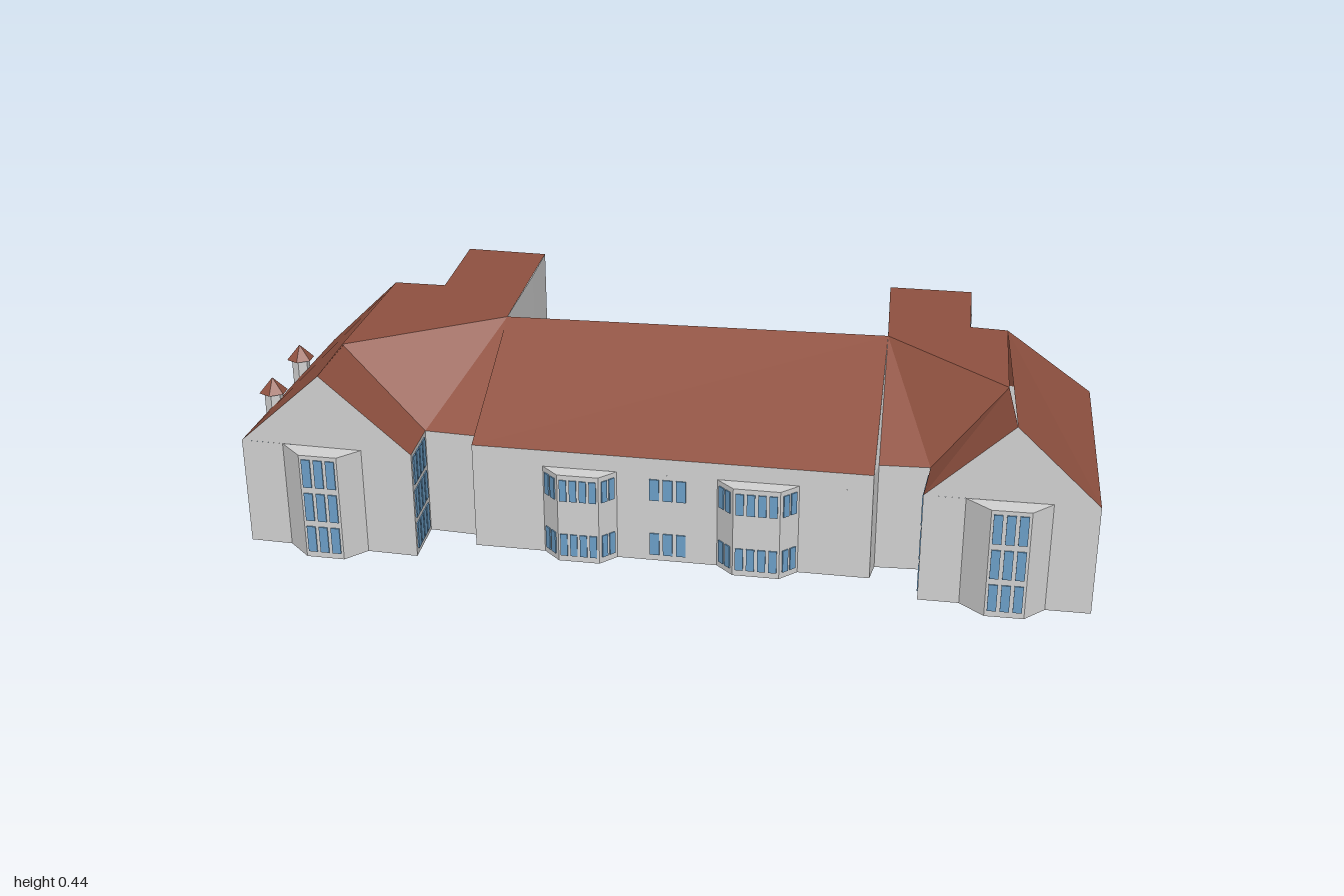
import * as THREE from 'three';

const EAVE = 0.26, RIDGE = 0.437;

const mat = (name, color) => {
  const m = new THREE.MeshStandardMaterial({ color, side: THREE.DoubleSide });
  m.name = name;
  return m;
};

export function createModel() {
  const group = new THREE.Group();
  group.name = 'longHouse';
  const wallMat = mat('render grey', 0xd2d2d2);
  const roofMat = mat('roof tile brown', 0x8f5140);
  const glassMat = mat('window blue', 0x6c9fc8);

  const add = (name, geometry, material, parent = group) => {
    const mesh = new THREE.Mesh(geometry, material);
    mesh.name = name;
    parent.add(mesh);
    return mesh;
  };

  // One mesh from flat polygons, each a fan around its first [x, y, z] corner
  const faces = (name, material, polygons) => {
    const pos = [];
    for (const p of polygons)
      for (let i = 1; i < p.length - 1; i++) pos.push(...p[0], ...p[i], ...p[i + 1]);
    const g = new THREE.BufferGeometry();
    g.setAttribute('position', new THREE.Float32BufferAttribute(pos, 3));
    g.computeVertexNormals();
    return add(name, g, material);
  };

  const at = ([x, z], y) => [x, y, z];
  const level = (plan, y) => plan.map(p => at(p, y));

  // Upright walls along a plan line of [x, z] points
  const walls = (name, plan, y0, y1) => faces(name, wallMat,
    plan.slice(1).map((b, i) => [at(plan[i], y0), at(b, y0), at(b, y1), at(plan[i], y1)]));

  // Grid of thin panes on the wall a-b, between the fractions t0 and t1
  const panes = (name, a, b, t0, t1, cols, rows, fill = 0.72) => {
    const set = new THREE.Group();
    set.name = name;
    group.add(set);
    const dx = b[0] - a[0], dz = b[1] - a[1];
    const step = (t1 - t0) / cols;
    for (let c = 0; c < cols; c++) {
      const t = t0 + step * (c + 0.5);
      for (const [y0, y1] of rows) {
        const pane = add('pane',
          new THREE.BoxGeometry(Math.hypot(dx, dz) * step * fill, y1 - y0, 0.006), glassMat, set);
        pane.position.set(a[0] + dx * t, (y0 + y1) / 2, a[1] + dz * t);
        pane.rotation.y = Math.atan2(-dz, dx);
      }
    }
  };

  const tallRows = [[0.015, 0.08], [0.095, 0.165], [0.18, 0.25]];
  const twoFloors = [[0.015, 0.07], [0.155, 0.208]];

  // Three-sided bay with a flat lid
  const bay = (name, plan, top) => {
    walls(name + 'Walls', plan, 0, top);
    faces(name + 'Lid', wallMat, [level(plan, top)]);
  };

  // ---- Wings, each listed in its own plan points ----
  const wings = [
    {
      name: 'rightWing',
      innerBack: [-0.635, -0.25], outerBack: [-0.95, -0.275], outerFront: [-0.98, 0.364],
      innerFront: [-0.57, 0.4], valley: [-0.57, 0.265], linkEnd: [-0.445, 0.28],
      mainCorner: [-0.445, 0.33], mainBack: [-0.425, -0.34], mainRidge: [-0.43, -0.04],
      ridgeFront: [-0.78, 0.382], ridgeMid: [-0.78, 0.185], ridgeBack: [-0.765, -0.25],
      hipInner: [-0.635, -0.243], extOuter: [-0.635, -0.535], extInner: [-0.425, -0.515],
      bay: [[-0.88, 0.373], [-0.825, 0.43], [-0.735, 0.436], [-0.69, 0.389]],
    },
    {
      name: 'leftWing',
      innerBack: [0.7, -0.172], outerBack: [0.998, -0.152], outerFront: [0.968, 0.489],
      innerFront: [0.588, 0.47], valley: [0.605, 0.33], linkEnd: [0.49, 0.33],
      mainCorner: [0.48, 0.385], mainBack: [0.5, -0.29], mainRidge: [0.498, -0.018],
      ridgeFront: [0.778, 0.48], ridgeMid: [0.77, 0.266], ridgeBack: [0.783, -0.087],
      hipInner: [0.695, -0.1], extOuter: [0.705, -0.347], extInner: [0.5, -0.36],
      bay: [[0.68, 0.475], [0.733, 0.526], [0.82, 0.53], [0.868, 0.484]],
    },
  ];

  for (const w of wings) {
    const lo = k => at(w[k], EAVE), hi = k => at(w[k], RIDGE);

    walls(w.name + 'SideWalls', [w.innerBack, w.outerBack, w.outerFront,
      w.name === 'rightWing' ? w.bay[0] : w.bay[3]], 0, EAVE);
    walls(w.name + 'InnerWalls', [w.name === 'rightWing' ? w.bay[3] : w.bay[0],
      w.innerFront, w.valley, w.linkEnd, w.mainCorner], 0, EAVE);
    faces(w.name + 'Gables', wallMat, [
      [lo('outerFront'), lo('innerFront'), hi('ridgeFront')],
      [lo('mainCorner'), lo('linkEnd'), hi('mainRidge')],
    ]);

    // Tall flat-topped rear block
    walls(w.name + 'RearBlock', [w.hipInner, w.innerBack, w.extOuter, w.extInner, w.mainBack], 0, RIDGE);
    faces(w.name + 'RearBlockCheek', wallMat, [[lo('mainBack'), hi('mainBack'), hi('mainRidge')]]);

    faces(w.name + 'Roof', roofMat, [
      [lo('outerFront'), lo('outerBack'), hi('ridgeBack'), hi('ridgeFront')],
      [lo('innerFront'), lo('valley'), hi('ridgeMid'), hi('ridgeFront')],
      [lo('valley'), lo('linkEnd'), hi('mainRidge'), hi('ridgeMid')],
      [lo('outerBack'), lo('innerBack'), hi('hipInner'), hi('ridgeBack')],
      ['hipInner', 'extOuter', 'extInner', 'mainRidge', 'ridgeMid', 'ridgeBack'].map(hi),
    ]);

    bay(w.name + 'Bay', w.bay, EAVE);
    panes(w.name + 'BayWindow', w.bay[1], w.bay[2], 0.02, 0.98, 3, tallRows);
    panes(w.name + 'InnerWindow', w.innerFront, w.valley, 0.06, 0.9, 4, tallRows, 0.8);
  }

  // ---- Main range ----
  const [R, L] = wings;
  const frontZ = x => 0.33 + (x + 0.445) * 0.0595;
  const onFront = x => [x, frontZ(x)];
  const bayTop = 0.22;
  const mainBays = [[-0.278, -0.238, -0.142, -0.105], [0.128, 0.168, 0.275, 0.315]];

  faces('mainRoof', roofMat, [
    [at(R.mainCorner, EAVE), at(L.mainCorner, EAVE), at(L.mainRidge, RIDGE), at(R.mainRidge, RIDGE)],
    [at(R.mainBack, EAVE), at(L.mainBack, EAVE), at(L.mainRidge, RIDGE), at(R.mainRidge, RIDGE)],
  ]);
  walls('mainBackWall', [R.mainBack, L.mainBack], 0, EAVE);
  walls('mainFrontLintel', [R.mainCorner, L.mainCorner], bayTop, EAVE);
  const stops = [-0.445, mainBays[0][0], mainBays[0][3], mainBays[1][0], mainBays[1][3], 0.48];
  for (let i = 0; i < 6; i += 2)
    walls('mainFrontWall', [onFront(stops[i]), onFront(stops[i + 1])], 0, bayTop);

  for (const [a, b, c, d] of mainBays) {
    const plan = [onFront(a), [b, frontZ(b) + 0.04], [c, frontZ(c) + 0.04], onFront(d)];
    bay('mainBay', plan, bayTop);
    panes('mainBayWindow', plan[1], plan[2], 0.02, 0.98, 4, twoFloors);
    panes('mainBaySideWindow', plan[0], plan[1], 0.1, 0.9, 2, twoFloors);
    panes('mainBaySideWindow', plan[2], plan[3], 0.1, 0.9, 2, twoFloors);
  }
  panes('middleWindow', onFront(-0.033), onFront(0.06), 0, 1, 3, twoFloors);

  // ---- End wall with windows, two capped pillars and a low parapet ----
  panes('endWindowBack', R.outerBack, R.outerFront, 0.03, 0.28, 4, tallRows, 0.8);
  panes('endWindowMiddle', R.outerBack, R.outerFront, 0.42, 0.62, 3, [[0.1, 0.165], [0.18, 0.25]], 0.8);
  panes('endWindowFront', R.outerBack, R.outerFront, 0.73, 0.98, 4, tallRows, 0.8);

  for (const z of [-0.05, 0.163]) {
    const pillar = add('entrancePillar', new THREE.CylinderGeometry(0.022, 0.022, 0.3, 6).toNonIndexed(), wallMat);
    pillar.geometry.computeVertexNormals();
    pillar.position.set(-0.967, 0.15, z);
    const cap = add('pillarCap', new THREE.ConeGeometry(0.034, 0.036, 6).toNonIndexed(), roofMat);
    cap.geometry.computeVertexNormals();
    cap.position.set(-0.967, 0.316, z);
  }
  const parapet = add('entranceParapet', new THREE.BoxGeometry(0.03, 0.09, 0.2), wallMat);
  parapet.position.set(-0.979, 0.045, 0.057);

  return group;
}
